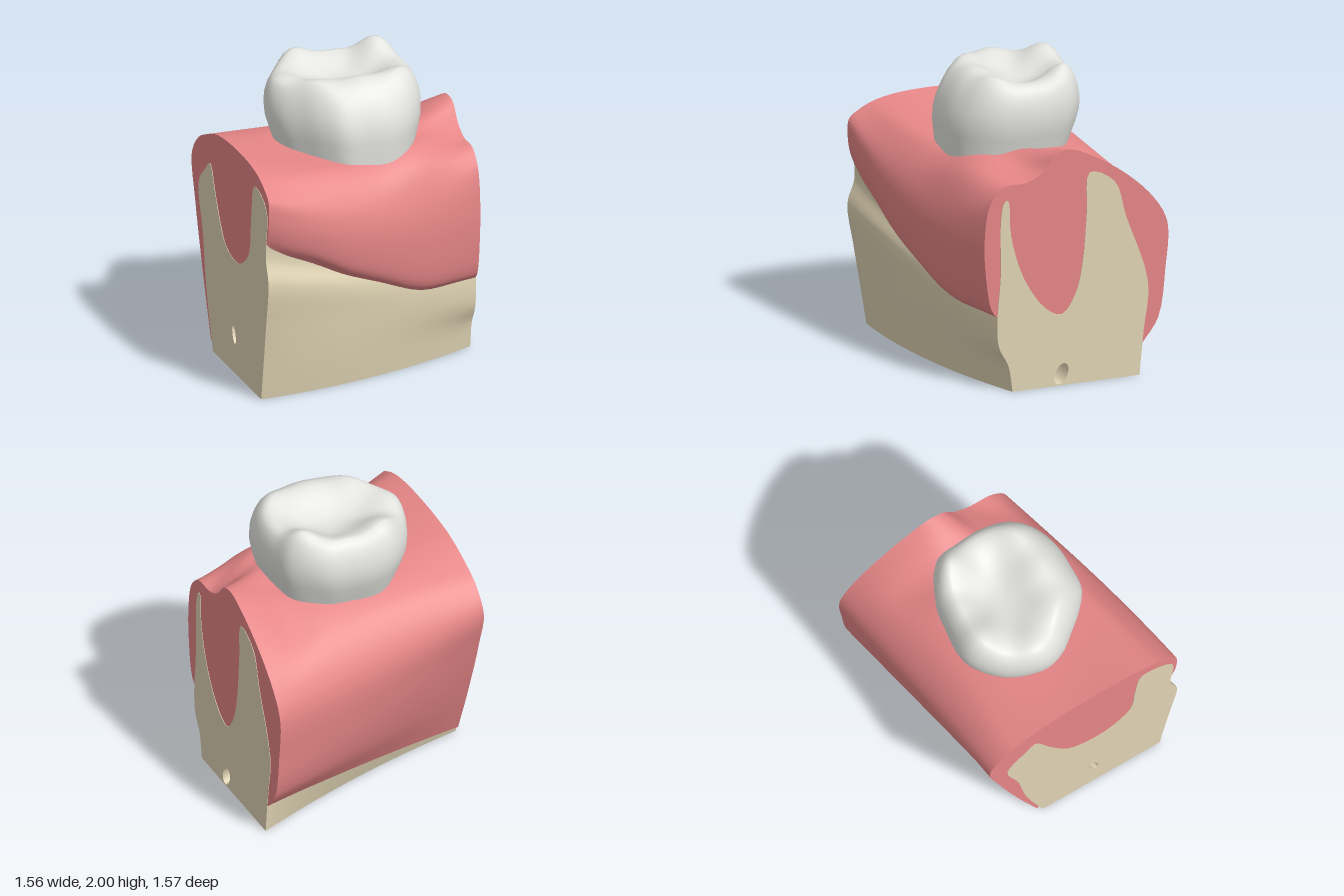
import * as THREE from 'three';

const HALF = 0.78; // half length of the jaw block
const bump = (t, centre, width) => Math.exp(-(((t - centre) / width) ** 2));

// Surface through rows of points; normals face (row direction) x (column direction)
function grid(rows, wrap = false) {
  const n = rows[0].length, idx = [];
  for (let i = 0; i < rows.length - 1; i++) {
    for (let j = 0; j < (wrap ? n : n - 1); j++) {
      const k = (j + 1) % n;
      const a = i * n + j, b = a + n, c = (i + 1) * n + k, d = i * n + k;
      idx.push(a, b, c, a, c, d);
    }
  }
  const g = new THREE.BufferGeometry().setFromPoints(rows.flat());
  g.setIndex(idx);
  g.computeVertexNormals();
  return g;
}

// Flat end of a block with optional hole rings; dir is +1 or -1 along x
function endCap(row, dir, holes) {
  const flat = ring => ring.map(p => new THREE.Vector2(-p.z, p.y));
  const all = [row, ...holes].flat(), pts = flat(all), idx = [];
  for (const [a, b, c] of THREE.ShapeUtils.triangulateShape(flat(row), holes.map(flat))) {
    const ccw = THREE.ShapeUtils.area([pts[a], pts[b], pts[c]]) > 0;
    if (ccw === (dir > 0)) idx.push(a, b, c); else idx.push(a, c, b);
  }
  const g = new THREE.BufferGeometry().setFromPoints(all);
  g.setIndex(idx);
  g.computeVertexNormals();
  return g;
}

// Block lofted along x through right-end, middle and left-end sections of [z, y];
// lift(t, j) raises section point j at t = -1..1; canal holds a ring for each end
function loftBlock(name, material, [low, mid, high], half, samples, lift, canal) {
  const rows = [];
  for (let i = 0; i <= 32; i++) {
    const t = i / 16 - 1;
    const mix = (a, m, b) => m + t * (b - a) / 2 + t * t * ((a + b) / 2 - m);
    const pts = mid.map((m, j) => new THREE.Vector3(
      t * half, mix(low[j][1], m[1], high[j][1]) + lift(t, j), mix(low[j][0], m[0], high[j][0])));
    rows.push(new THREE.CatmullRomCurve3(pts).getPoints(samples));
  }
  const group = new THREE.Group();
  group.name = name;
  const add = (part, g) => {
    const m = new THREE.Mesh(g, material);
    m.name = name + part;
    group.add(m);
  };
  add('Surface', grid(rows));
  add('Underside', grid(rows.map(r => [r[samples].clone(), r[0].clone()])));
  add('RightEnd', endCap(rows[0], -1, canal.slice(0, 1)));
  add('LeftEnd', endCap(rows[32], 1, canal.slice(1)));
  if (canal.length) add('Canal', grid(canal, true));
  return group;
}

// Oval ring of a nerve canal, ordered so that the tunnel wall faces inward
function canalRing(x, y, z, h, w) {
  return Array.from({ length: 20 }, (_, i) => {
    const a = i / 20 * Math.PI * 2;
    return new THREE.Vector3(x, y + h * Math.sin(a), z - w * Math.cos(a) - 0.25 * h * Math.sin(a));
  });
}

// Molar crown: swelling side rings, a rim and a cusped chewing surface
function crownGeometry() {
  const outline = new THREE.CatmullRomCurve3([
    [-0.49, 0], [-0.465, -0.14], [-0.38, -0.3], [-0.2, -0.445], [0.06, -0.435], [0.24, -0.4],
    [0.44, -0.27], [0.48, -0.1], [0.49, 0.1], [0.45, 0.27], [0.34, 0.4], [0.19, 0.465],
    [0.02, 0.47], [-0.14, 0.455], [-0.26, 0.365], [-0.36, 0.25], [-0.45, 0.13],
  ].map(([x, z]) => new THREE.Vector3(x, 0, z)), true).getPoints(72).slice(0, 72);

  // cusps: x, z, height, spread
  const cusps = [
    [0.33, -0.25, 0.18, 0.025], [-0.19, -0.33, 0.14, 0.03], [0.33, 0.24, 0.13, 0.03],
    [-0.24, 0.2, 0.11, 0.035], [0.05, 0.25, 0.11, 0.03], [-0.38, -0.05, 0.07, 0.02],
    [0.4, 0.0, 0.07, 0.02], [0.08, -0.34, 0.07, 0.015],
  ];
  const top = (x, z) => cusps.reduce(
    (h, [cx, cz, a, s]) => h + a * Math.exp(-((x - cx) ** 2 + (z - cz) ** 2) / s), 1.815);

  // side rings: x scale, z scale, rise from neck (0) to rim (1)
  const side = [
    [0.84, 0.88, 0], [0.89, 0.93, 0.2], [0.95, 0.98, 0.38], [0.99, 1, 0.52], [1, 0.98, 0.66],
    [0.99, 0.93, 0.78], [0.96, 0.87, 0.88], [0.92, 0.79, 0.96], [0.87, 0.71, 1],
  ];
  const inner = [0.93, 0.84, 0.73, 0.6, 0.46, 0.32, 0.18, 0.08, 0.001];
  const ring = (sx, sz, rise) => outline.map(p => {
    const shift = 0.05 * (1 - rise) ** 2 - 0.03 * rise * rise;
    const h = top(p.x * Math.min(sx, 0.87), p.z * Math.min(sz, 0.71) - 0.03 * rise * rise);
    return new THREE.Vector3(p.x * sx, 1.35 + (h - 1.35) * rise, p.z * sz + shift);
  });
  const rows = side.map(s => ring(...s));
  for (const k of inner) rows.push(ring(0.87 * k, 0.71 * k, 1));
  return grid(rows, true);
}

export function createModel() {
  const mat = (name, color) => {
    const m = new THREE.MeshStandardMaterial({ color });
    m.name = name;
    return m;
  };
  const gumPink = mat('gumPink', 0xe68687);
  const boneBeige = mat('boneBeige', 0xe0d4b4);
  const enamel = mat('enamelWhite', 0xe4e4e0);
  const model = new THREE.Group();
  model.name = 'toothInJaw';

  // Gum: front lower edge, over the ridge, to back lower edge
  const gumSections = [
    [[0.73, 1.08], [0.75, 1.13], [0.77, 1.2], [0.78, 1.3], [0.77, 1.4], [0.69, 1.46],
      [0.6, 1.5], [0.45, 1.53], [0.25, 1.54], [0.05, 1.535], [-0.15, 1.51], [-0.35, 1.44],
      [-0.51, 1.35], [-0.61, 1.2], [-0.55, 0.93], [-0.4, 0.45], [-0.26, 0.06]],
    [[0.6, 0.68], [0.66, 0.74], [0.69, 0.87], [0.695, 1.05], [0.66, 1.2], [0.58, 1.33],
      [0.47, 1.42], [0.35, 1.44], [0.2, 1.46], [0, 1.48], [-0.15, 1.48], [-0.35, 1.43],
      [-0.53, 1.32], [-0.67, 1.09], [-0.66, 0.8], [-0.56, 0.4], [-0.42, 0.14]],
    [[0.37, 0.5], [0.42, 0.56], [0.46, 0.78], [0.47, 1.05], [0.43, 1.28], [0.33, 1.38],
      [0.18, 1.39], [0.07, 1.45], [-0.02, 1.56], [-0.12, 1.58], [-0.25, 1.53], [-0.5, 1.37],
      [-0.7, 1.17], [-0.785, 1.0], [-0.77, 0.7], [-0.72, 0.37], [-0.61, 0.21]],
  ];
  // wavy lower edge, raised shoulder beside the crown and dipped ridge behind it
  const gumLift = (t, j) => {
    if (j < 3) return 0.025 * bump(t, -0.55, 0.22) - 0.045 * bump(t, 0.45, 0.3);
    if (j < 5) return 0;
    if (j < 9) return [0.05, 0.07, 0.045, 0.01][j - 5] * bump(t, 0.5, 0.3);
    return j < 12 ? -0.035 * bump(t, 0.62, 0.2) : 0;
  };
  model.add(loftBlock('gum', gumPink, gumSections, HALF - 0.003, 64, gumLift, []));

  // Jaw bone: two horns with the socket valley between them
  const boneSections = [
    [[0.65, 0], [0.69, 0.25], [0.74, 0.55], [0.78, 0.83], [0.73, 1.0], [0.75, 1.3],
      [0.68, 1.38], [0.52, 1.41], [0.47, 1.2], [0.43, 0.92], [0.3, 0.8], [0.18, 0.77],
      [0, 0.82], [-0.1, 0.95], [-0.18, 1.1], [-0.27, 1.27], [-0.36, 1.2], [-0.48, 1.06],
      [-0.4, 0.75], [-0.34, 0.4], [-0.22, 0]],
    [[0.55, 0], [0.58, 0.2], [0.61, 0.45], [0.62, 0.65], [0.58, 0.8], [0.56, 1.1],
      [0.5, 1.25], [0.42, 1.28], [0.4, 1.1], [0.32, 0.85], [0.18, 0.65], [0.05, 0.6],
      [-0.08, 0.7], [-0.15, 0.9], [-0.2, 1.1], [-0.3, 1.3], [-0.4, 1.25], [-0.5, 1.05],
      [-0.56, 0.7], [-0.48, 0.35], [-0.36, 0]],
    [[0.28, 0], [0.31, 0.18], [0.37, 0.3], [0.385, 0.45], [0.36, 0.8], [0.36, 1.15],
      [0.335, 1.28], [0.31, 1.29], [0.29, 1.05], [0.2, 0.75], [0.05, 0.53], [-0.06, 0.48],
      [-0.15, 0.6], [-0.2, 0.8], [-0.23, 1.15], [-0.25, 1.41], [-0.42, 1.33], [-0.5, 1.08],
      [-0.65, 0.62], [-0.62, 0.3], [-0.59, 0]],
  ];
  // nerve canal running through the bone from end to end
  const canal = [canalRing(-HALF, 0.26, 0.16, 0.06, 0.03), canalRing(HALF, 0.077, -0.055, 0.07, 0.045)];
  model.add(loftBlock('jawBone', boneBeige, boneSections, HALF, 80, () => 0, canal));

  // Crown of the tooth
  const crown = new THREE.Mesh(crownGeometry(), enamel);
  crown.name = 'toothCrown';
  model.add(crown);
  return model;
}
